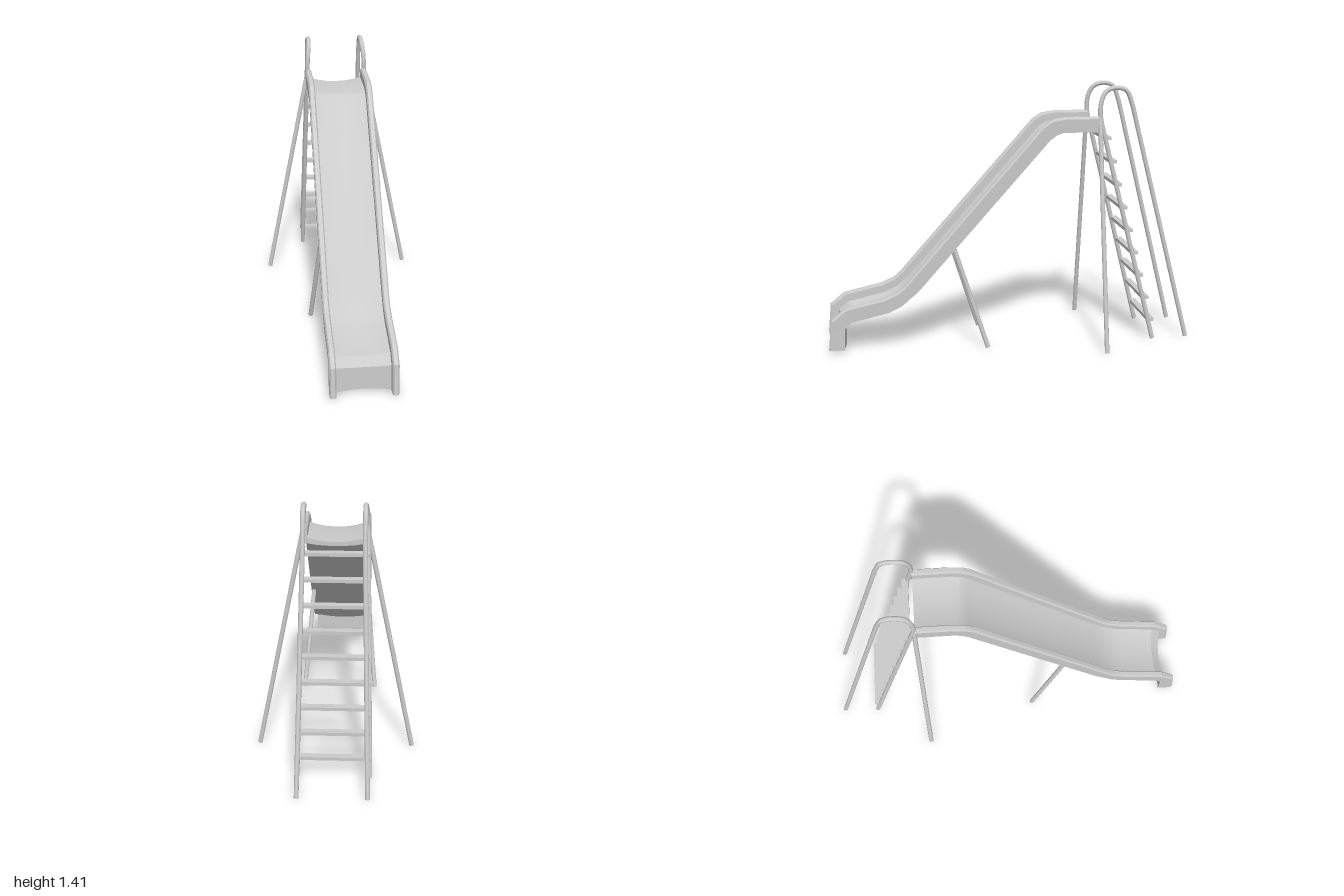
import * as THREE from 'three';
import { toCreasedNormals } from 'three/addons/utils/BufferGeometryUtils.js';

const R = 0.0125;
const grey = new THREE.MeshStandardMaterial({ color: 0xcccccc });
const V = (x, y, z) => new THREE.Vector3(x, y, z);

// Straight capped tube between two points
function bar(name, a, b) {
  const g = new THREE.CylinderGeometry(R, R, a.distanceTo(b), 10);
  const mesh = new THREE.Mesh(g, grey);
  mesh.name = name;
  mesh.position.copy(a).lerp(b, 0.5);
  mesh.quaternion.setFromUnitVectors(V(0, 1, 0), b.clone().sub(a).normalize());
  return mesh;
}

// Trough section swept between an underside line and a rim line
function chuteGeometry() {
  // [rim z, rim y, underside z, underside y], top to bottom
  const stations = [
    [-0.475, 1.258, -0.475, 1.163],
    [-0.285, 1.258, -0.275, 1.163],
    [-0.215, 1.247, -0.245, 1.152],
    [-0.165, 1.216, -0.21, 1.127],
    [0.587, 0.365, 0.5, 0.33],
    [0.625, 0.332, 0.6, 0.245],
    [0.695, 0.302, 0.67, 0.21],
    [0.905, 0.255, 0.865, 0.167],
    [0.983, 0.192, 0.9, 0.137],
    [0.998, 0.025, 0.9, 0.025],
  ];
  // [x, height fraction], from the belly centre round to the trough centre
  const half = [[0, 0], [0.05, 0.015], [0.1, 0.06], [0.14, 0.13], [0.172, 0.13], [0.175, 0.88],
    [0.168, 1], [0.147, 1], [0.14, 0.88], [0.14, 0.45], [0.1, 0.33], [0.05, 0.25], [0, 0.22]];
  const section = [...half, ...half.slice(1, -1).reverse().map(([x, t]) => [-x, t])];
  const n = section.length;
  const positions = [], index = [];
  for (const [tz, ty, bz, by] of stations) {
    for (const [x, t] of section) positions.push(x, by + (ty - by) * t, bz + (tz - bz) * t);
  }
  for (let i = 0; i < stations.length - 1; i++) {
    for (let j = 0; j < n; j++) {
      const k = (j + 1) % n;
      const a = i * n + j, b = i * n + k, c = b + n, d = a + n;
      index.push(a, b, c, a, c, d);
    }
  }
  // End caps
  const last = (stations.length - 1) * n;
  const contour = section.map(([x, t]) => new THREE.Vector2(x, t * 0.095));
  for (const [a, b, c] of THREE.ShapeUtils.triangulateShape(contour, [])) {
    index.push(a, c, b, last + a, last + b, last + c);
  }
  const g = new THREE.BufferGeometry();
  g.setAttribute('position', new THREE.Float32BufferAttribute(positions, 3));
  g.setIndex(index);
  return toCreasedNormals(g, 0.35);
}

export function createModel() {
  const model = new THREE.Group();
  model.name = 'playgroundSlide';

  const chute = new THREE.Mesh(chuteGeometry(), grey);
  chute.name = 'chute';
  model.add(chute);

  const ladderFoot = V(0.187, 0.012, -0.788), ladderTop = V(0.163, 1.22, -0.484);

  for (const s of [1, -1]) {
    const side = new THREE.Group();
    side.name = s > 0 ? 'leftFrame' : 'rightFrame';
    const P = (x, y, z) => V(s * x, y, z);
    const M = (v) => P(v.x, v.y, v.z);

    side.add(bar('ladderRail', M(ladderFoot), M(ladderTop)));
    side.add(bar('handrailLeg', P(0.178, 0.012, -0.983), P(0.15, 1.25, -0.672)));
    side.add(bar('splayedLeg', P(0.408, 0.012, -0.475), P(0.163, 1.24, -0.475)));
    side.add(bar('chuteSupport', P(0.205, 0.012, 0.142), P(0.157, 0.56, 0.317)));

    // Handrail loop joining the ladder rail to the rear leg
    const loop = new THREE.CatmullRomCurve3([
      M(ladderTop), P(0.162, 1.27, -0.476), P(0.158, 1.34, -0.482), P(0.152, 1.392, -0.51),
      P(0.15, 1.41, -0.565), P(0.15, 1.395, -0.62), P(0.15, 1.33, -0.65), P(0.15, 1.25, -0.672),
    ]);
    const rail = new THREE.Mesh(new THREE.TubeGeometry(loop, 28, R, 10), grey);
    rail.name = 'handrailLoop';
    side.add(rail);
    model.add(side);
  }

  // Ladder rungs, set slightly behind the rails
  const rungs = new THREE.Group();
  rungs.name = 'ladderRungs';
  for (let i = 0; i < 9; i++) {
    const y = 0.12 + i * 0.1275;
    const p = ladderFoot.clone().lerp(ladderTop, (y - ladderFoot.y) / (ladderTop.y - ladderFoot.y));
    const rung = new THREE.Mesh(new THREE.BoxGeometry(2 * p.x + 0.012, 0.018, 0.036), grey);
    rung.name = 'rung';
    rung.position.set(0, y, p.z - 0.014);
    rungs.add(rung);
  }
  model.add(rungs);
  return model;
}
